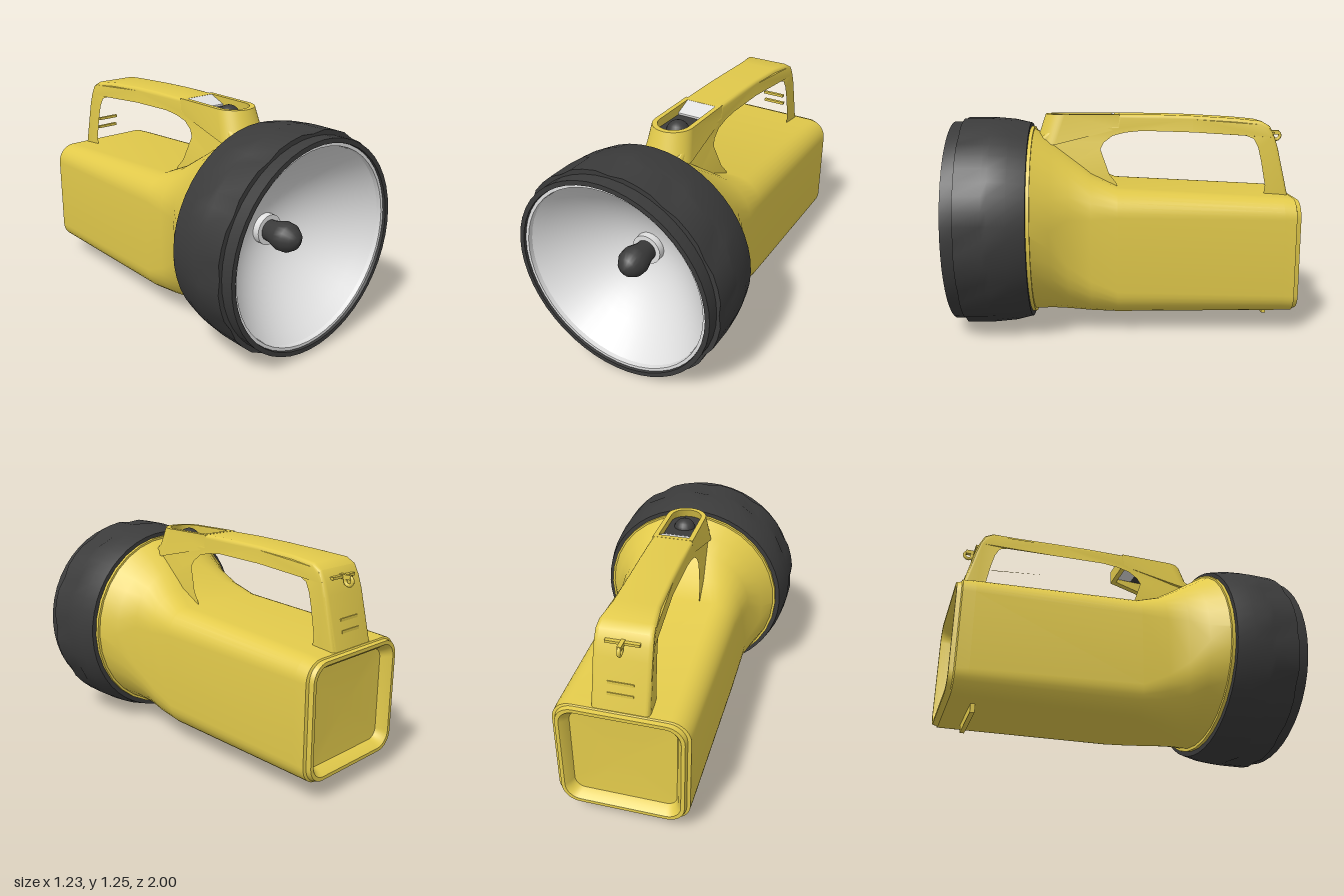
import * as THREE from 'three';
import { toCreasedNormals } from 'three/addons/utils/BufferGeometryUtils.js';

const CY = 0.627; // height of the lamp axis

export function createModel() {
  const model = new THREE.Group();
  const mat = (name, color) => {
    const m = new THREE.MeshStandardMaterial({ color });
    m.name = name;
    return m;
  };
  const yellow = mat('yellow plastic', 0xe2ca4b);
  const black = mat('black rubber', 0x3b3b3b);
  const silver = mat('silver', 0xe0e0e0);

  const add = (name, geometry, material, x = 0, y = 0, z = 0) => {
    const mesh = new THREE.Mesh(geometry, material);
    mesh.name = name;
    mesh.position.set(x, y, z);
    model.add(mesh);
  };
  const points = (list) => list.map(([a, b]) => new THREE.Vector2(a, b));
  // Lathe about the z axis from [radius, z] pairs
  const lathe = (profile, segments) =>
    new THREE.LatheGeometry(points(profile), segments).rotateX(Math.PI / 2);

  // Rubber head ring with twelve shallow finger notches
  const head = lathe([[0.53, 0.55], [0.585, 0.55], [0.608, 0.65], [0.617, 0.75], [0.619, 0.78],
    [0.619, 0.93], [0.593, 0.93], [0.593, 1], [0.567, 1], [0.563, 0.96]], 48);
  const hp = head.attributes.position;
  for (let i = 0; i < hp.count; i++) {
    const x = hp.getX(i), y = hp.getY(i);
    const step = Math.round(Math.atan2(y, x) / (Math.PI / 24));
    if (Math.hypot(x, y) > 0.6185 && (step + 48) % 4 === 0) hp.setXY(i, x * 0.98, y * 0.98);
  }
  add('headRing', toCreasedNormals(head, 0.6), black, 0, CY);

  // Reflector: bright rim, then a parabolic bowl
  add('reflectorRim', toCreasedNormals(lathe([[0.568, 0.985], [0.548, 0.985], [0.545, 0.96]], 48), 0.6), silver, 0, CY);
  const bowl = [];
  for (let i = 12; i >= 0; i--) {
    const r = 0.547 * i / 12;
    bowl.push([r, 0.61 + 0.35 * (r / 0.547) ** 2]);
  }
  add('reflectorBowl', lathe(bowl, 48), silver, 0, CY);

  // Bulb and its collar
  add('bulbCollar', toCreasedNormals(lathe([[0.088, 0.6], [0.088, 0.66], [0.06, 0.66]], 24), 0.6), silver, 0, CY);
  add('bulb', lathe([[0.055, 0.63], [0.065, 0.7], [0.084, 0.76], [0.08, 0.81], [0.055, 0.85], [0.025, 0.87], [0, 0.875]], 20), black, 0, CY);

  // Body: loft from a round collar to a rounded box with a dished rear
  // Each section is [z, half width, bottom, top, corner radius]
  const sections = [
    [0.57, 0.56, 0.07, 1.19, 0.56], [0.53, 0.56, 0.07, 1.19, 0.56],
    [0.53, 0.545, 0.088, 1.177, 0.54], [0.43, 0.485, 0.093, 1.11, 0.46],
    [0.33, 0.415, 0.1, 1.03, 0.33], [0.2, 0.4, 0.11, 0.925, 0.23],
    [0.05, 0.388, 0.12, 0.853, 0.15], [-0.9, 0.373, 0.12, 0.797, 0.115],
    [-0.97, 0.37, 0.12, 0.79, 0.11], [-0.975, 0.352, 0.125, 0.782, 0.1],
    [-1, 0.345, 0.13, 0.778, 0.1], [-1, 0.325, 0.15, 0.758, 0.085],
    [-0.975, 0.305, 0.17, 0.738, 0.07], [-0.94, 0.29, 0.185, 0.72, 0.06],
    [-0.93, 0, 0.45, 0.45, 0],
  ];
  const verts = [], faces = [], arc = 9, ring = arc * 4;
  for (const [z, w, bottom, top, r] of sections) {
    for (let j = 0; j < ring; j++) {
      const k = Math.floor(j / arc);
      const a = (k + (j % arc) / (arc - 1)) * Math.PI / 2;
      const cx = (k === 0 || k === 3 ? 1 : -1) * (w - r);
      const cy = k < 2 ? top - r : bottom + r;
      verts.push(cx + r * Math.cos(a), cy + r * Math.sin(a), z);
    }
  }
  for (let i = 0; i < sections.length - 1; i++) {
    for (let j = 0; j < ring; j++) {
      const a = i * ring + j, b = i * ring + (j + 1) % ring, c = a + ring, d = b + ring;
      faces.push(a, c, b, b, c, d);
    }
  }
  const body = new THREE.BufferGeometry();
  body.setAttribute('position', new THREE.Float32BufferAttribute(verts, 3));
  body.setIndex(faces);
  add('body', toCreasedNormals(body, 0.7), yellow);

  // Handle: side outline in [z, y] with a window, widened toward its feet
  const side = (list) => points(list.map(([z, y]) => [-z, y]));
  const outline = new THREE.Shape(side([[0.5, 0.9], [0.5, 1.12], [0.4, 1.203],
    [0.05, 1.205], [0.04, 1.264], [-0.2, 1.262], [-0.4, 1.255], [-0.65, 1.24], [-0.8, 1.225],
    [-0.85, 1.195], [-0.877, 1.14], [-0.9, 1.07], [-0.967, 0.79], [-0.955, 0.765],
    [-0.89, 0.74], [-0.87, 0.66], [0.3, 0.66]]));
  outline.holes.push(new THREE.Path(side([[0.165, 1.065], [0.14, 1.115], [0.08, 1.16], [0, 1.18],
    [-0.1, 1.19], [-0.4, 1.18], [-0.715, 1.16], [-0.77, 1.138], [-0.8, 1.08], [-0.82, 1.0],
    [-0.848, 0.85], [-0.835, 0.75], [0.03, 0.75], [0.07, 0.86], [0.11, 0.91]])));
  const bevel = 0.02;
  const handle = new THREE.ExtrudeGeometry(outline, {
    depth: 0.24 - 2 * bevel, bevelThickness: bevel, bevelSize: bevel, bevelOffset: -bevel, bevelSegments: 3,
  }).translate(0, 0, bevel - 0.12).rotateY(Math.PI / 2);
  const p = handle.attributes.position;
  for (let i = 0; i < p.count; i++) {
    const y = p.getY(i), z = p.getZ(i);
    const flare = z > 0 ? Math.max(0, 1.12 - y) * 1.3 : 0;
    p.setX(i, p.getX(i) * (1 + flare + 0.3 * THREE.MathUtils.smoothstep(-z, 0.55, 0.93)));
  }
  add('handle', toCreasedNormals(handle, 0.6), yellow);

  // Switch well: plates square at the back and round at the front
  const trace = (s, w, back, front) => {
    s.moveTo(w, -back).lineTo(-w, -back).lineTo(-w, w - front);
    s.absarc(0, w - front, w, Math.PI, Math.PI * 2, false);
    return s.lineTo(w, -back);
  };
  const flat = (shape, depth) =>
    new THREE.ExtrudeGeometry(shape, { depth, bevelEnabled: false, curveSegments: 16 }).rotateX(-Math.PI / 2);

  // Collar, its lower edge spread forward and sideways to meet the body
  const collarShape = trace(new THREE.Shape(), 0.118, 0.03, 0.465);
  collarShape.holes.push(trace(new THREE.Path(), 0.09, 0.06, 0.435));
  const collar = flat(collarShape, 0.173);
  const cp = collar.attributes.position;
  for (let i = 0; i < cp.count; i++) {
    if (cp.getY(i) > 0.1) continue;
    const z = cp.getZ(i);
    if (z < 0.1) cp.setY(i, 0.09);
    else cp.setXYZ(i, cp.getX(i) * 1.2, 0, z + 0.06);
  }
  add('switchCollar', toCreasedNormals(collar, 0.6), yellow, 0, 1.092);
  add('switchFloor', flat(trace(new THREE.Shape(), 0.102, 0.05, 0.455), 0.008), black, 0, 1.206);
  add('switchButton', new THREE.SphereGeometry(0.065, 20, 12), black, 0, 1.198, 0.31);

  // Sloping silver slide behind the button
  const wedge = new THREE.Shape(side([[0.16, 1.205], [0.16, 1.225], [0.06, 1.264], [0.055, 1.205]]));
  const wedgeGeo = new THREE.ExtrudeGeometry(wedge, { depth: 0.18, bevelEnabled: false });
  add('switchSlide', wedgeGeo.translate(0, 0, -0.09).rotateY(Math.PI / 2), silver);

  // Strap eyelet and small ribs on the rear of the handle
  add('strapEyelet', new THREE.TorusGeometry(0.023, 0.01, 8, 18).rotateY(Math.PI / 2), yellow, 0, 1.13, -0.92);
  add('eyeletStem', new THREE.BoxGeometry(0.022, 0.024, 0.07), yellow, 0, 1.15, -0.9);
  add('upperRib', new THREE.BoxGeometry(0.18, 0.014, 0.03), yellow, 0, 1.15, -0.875);
  for (const y of [0.88, 0.94]) {
    add('lowerRib', new THREE.BoxGeometry(0.14, 0.016, 0.02), yellow, 0, y, -0.938 + (y - 0.88) * 0.23);
  }

  // Rear foot bar
  add('footBar', new THREE.BoxGeometry(0.36, 0.06, 0.025), yellow, 0, 0.1, -0.84);
  return model;
}
